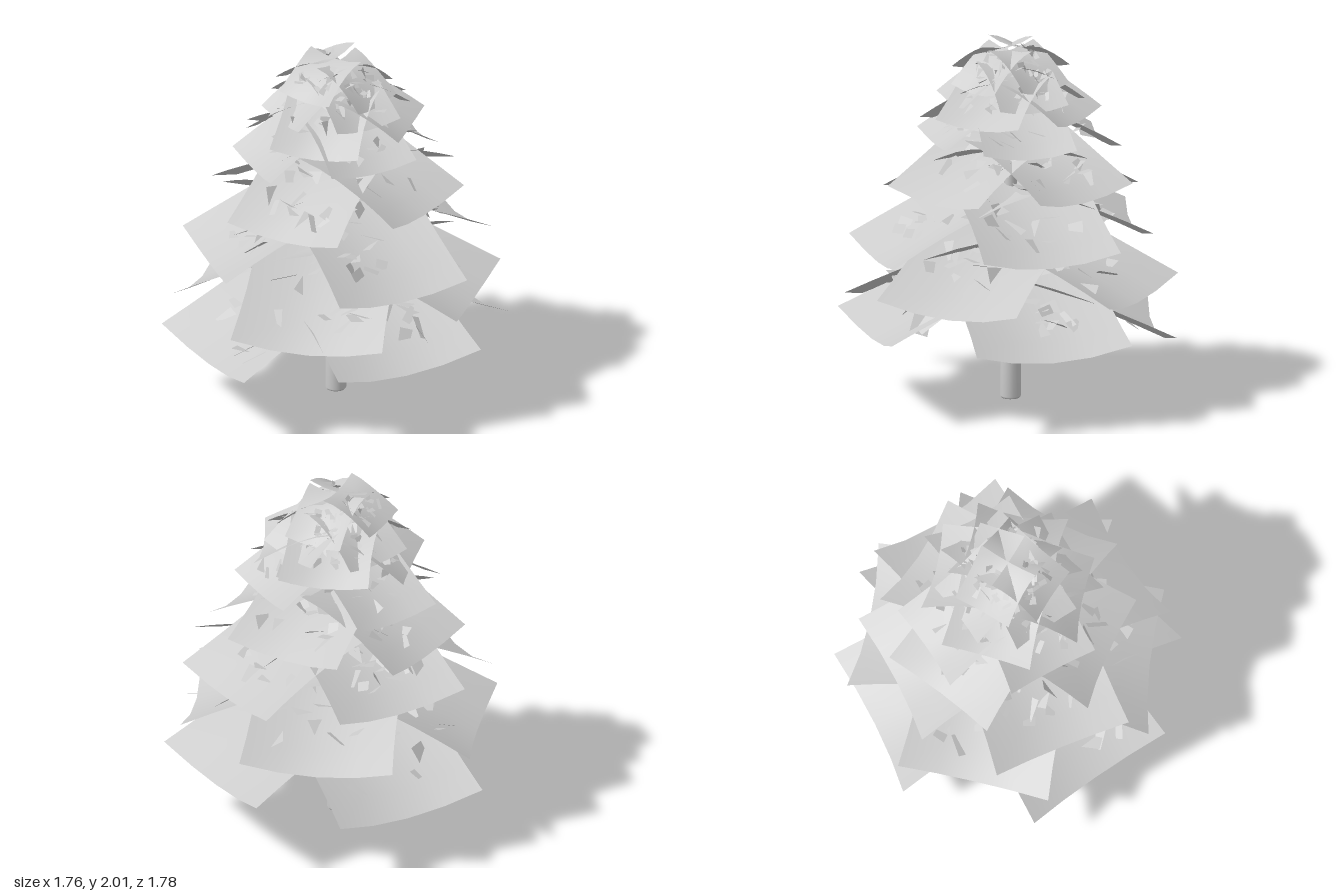
import * as THREE from 'three';
import { mergeGeometries } from 'three/addons/utils/BufferGeometryUtils.js';

const leafMaterial = new THREE.MeshStandardMaterial({ color: 0xcccccc, side: THREE.DoubleSide });
const barkMaterial = new THREE.MeshStandardMaterial({ color: 0xcccccc });

// Small seeded generator for the loose sprigs
let seed = 7;
const rand = (a, b) => {
  seed = (seed * 16807) % 2147483647;
  return a + (b - a) * (seed / 2147483647);
};

// Tiers from the ground up. turns: boughs, degrees from +z towards +x;
// lean: direction in which the tier sits higher, by lift; shift: extra reach to the front
const tiers = [
  { turns: [3, 90, 174, 275], reach: 0.80, half: 0.44, root: 0.71, lean: 45, lift: 0.05, shift: 0 },
  { turns: [48, 137, 225, 323], reach: 0.77, half: 0.42, root: 0.92, lean: 95, lift: 0.055, shift: 0 },
  { turns: [2, 91, 175, 262], reach: 0.72, half: 0.39, root: 1.19, lean: 140, lift: 0.06, shift: 0.04 },
  { turns: [30, 116, 200, 306], reach: 0.58, half: 0.34, root: 1.43, lean: 85, lift: 0.06, shift: 0 },
  { turns: [2, 86, 182, 268], reach: 0.475, half: 0.26, root: 1.665, lean: 50, lift: 0.045, shift: -0.05 },
  { turns: [48, 135, 222, 318], reach: 0.405, half: 0.25, root: 1.79, lean: 90, lift: 0.035, shift: 0 },
  { turns: [5, 95, 185, 275], reach: 0.335, half: 0.20, root: 1.87, lean: 60, lift: 0.01, shift: 0 },
  { turns: [27, 117, 208, 297], reach: 0.27, half: 0.17, root: 1.965, lean: 240, lift: 0.04, shift: 0 },
];

// Point on a drooping, trough-shaped sheet: u runs across (-1..1), t from root to tip (0..1)
function sheetPoint(u, t, { reach, half, root, drop, bend }) {
  return new THREE.Vector3(
    u * half * (1 - 0.06 * Math.sin(Math.PI * t)),
    root - drop * Math.pow(t, bend) + 0.17 * half * u * u,
    t * reach + 0.09 * half * u * u * t
  );
}

function sheet(at) {
  const geometry = new THREE.PlaneGeometry(2, 1, 4, 5);
  const p = geometry.attributes.position;
  for (let i = 0; i < p.count; i++) {
    const v = at(p.getX(i), 0.5 - p.getY(i));
    p.setXYZ(i, v.x, v.y, v.z);
  }
  geometry.computeVertexNormals();
  return geometry;
}

// Small tilted scrap of foliage that cuts through its sheet
function sprig(at, half, slope) {
  const size = 0.02 + 0.25 * half;
  const geometry = new THREE.PlaneGeometry(size * rand(0.5, 0.8), size * rand(0.8, 1.2));
  const p = geometry.attributes.position;
  for (let i = 0; i < 4; i++) p.setX(i, p.getX(i) * rand(0.75, 1.2));
  geometry.rotateX(-Math.PI / 2);
  geometry.rotateZ(rand(-0.6, 0.6));
  geometry.rotateX(slope + rand(-0.7, 0.6));
  geometry.rotateY(rand(-1, 1));
  const c = at(rand(-0.65, 0.65), rand(0.2, 0.8));
  return geometry.translate(c.x, c.y, c.z);
}

function makeBough(form) {
  const at = (u, t) => sheetPoint(u, t, form);
  const slope = Math.atan2(form.drop, form.reach);
  const parts = [sheet(at)];
  for (let i = 0; i < 16; i++) parts.push(sprig(at, form.half, slope));
  const bough = new THREE.Mesh(mergeGeometries(parts), leafMaterial);
  bough.name = 'bough';
  return bough;
}

// Four boughs around the trunk, bending more sharply towards the crown
function makeTier({ turns, reach, half, root, lean, lift, shift }, level) {
  const tier = new THREE.Group();
  tier.name = 'tier' + (level + 1);
  for (const turn of turns) {
    const angle = THREE.MathUtils.degToRad(turn);
    const rise = lift * Math.cos(angle - THREE.MathUtils.degToRad(lean));
    const bough = makeBough({
      reach: reach + shift * Math.cos(angle),
      half,
      root: root + 0.4 * rise,
      drop: 0.09 + 0.32 * reach - 0.6 * rise,
      bend: 1.12 + 0.05 * level,
    });
    bough.rotation.y = angle;
    tier.add(bough);
  }
  return tier;
}

export function createModel() {
  const tree = new THREE.Group();
  tree.name = 'conifer';

  // Tapering trunk with a softened foot
  const profile = [[0, 0], [0.05, 0], [0.058, 0.012], [0.056, 0.2], [0.043, 0.8], [0.032, 1.35], [0.012, 1.9], [0, 1.94]];
  const trunk = new THREE.Mesh(
    new THREE.LatheGeometry(profile.map(([r, y]) => new THREE.Vector2(r, y)), 16),
    barkMaterial
  );
  trunk.name = 'trunk';
  tree.add(trunk);

  tiers.forEach((tier, level) => tree.add(makeTier(tier, level)));
  return tree;
}
